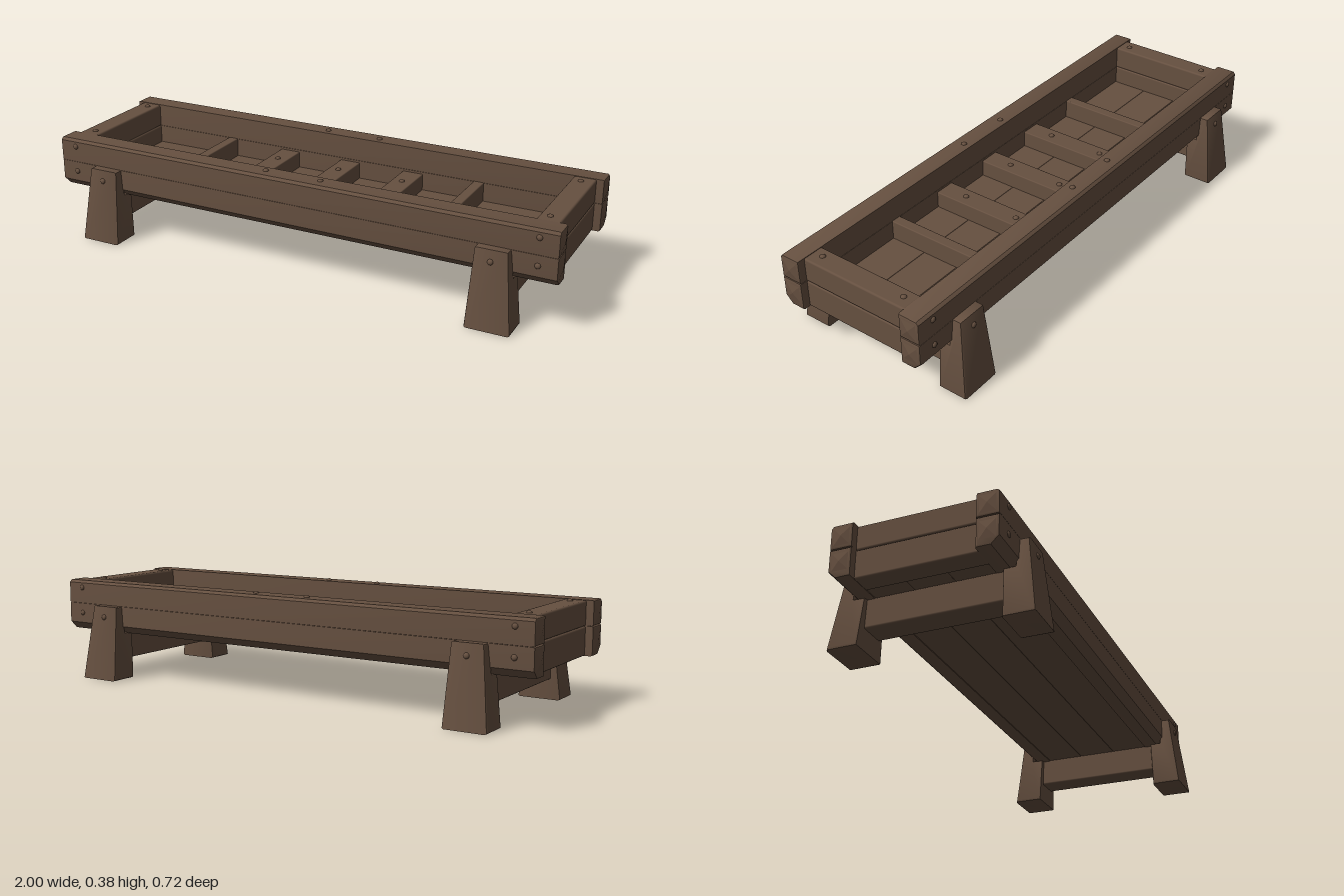
import * as THREE from 'three';
import { RoundedBoxGeometry } from 'three/addons/geometries/RoundedBoxGeometry.js';
import { toCreasedNormals } from 'three/addons/utils/BufferGeometryUtils.js';

export function createModel() {
  const model = new THREE.Group();
  model.name = 'woodenTrough';
  const wood = new THREE.MeshStandardMaterial({ color: 0x665040 });
  wood.name = 'brown wood';

  function add(name, geometry, x = 0, y = 0, z = 0) {
    const mesh = new THREE.Mesh(geometry, wood);
    mesh.name = name;
    mesh.position.set(x, y, z);
    model.add(mesh);
    return mesh;
  }

  // Rounded beam given by its limits on each axis
  function beam(name, [x0, x1], [y0, y1], [z0, z1], r = 0.008) {
    return add(name, new RoundedBoxGeometry(x1 - x0, y1 - y0, z1 - z0, 2, r),
      (x0 + x1) / 2, (y0 + y1) / 2, (z0 + z1) / 2);
  }

  // Extrusion of a [z, y] outline along x, bevelled and centred on x = 0
  function prism(points, length, bevel) {
    const shape = new THREE.Shape(points.map(([z, y]) => new THREE.Vector2(-z, y)));
    const g = new THREE.ExtrudeGeometry(shape, {
      depth: length - 2 * bevel, bevelEnabled: true, bevelSize: bevel,
      bevelThickness: bevel, bevelOffset: -bevel, bevelSegments: 2,
    });
    g.translate(0, 0, -(length - 2 * bevel) / 2);
    g.rotateY(Math.PI / 2);
    return g;
  }

  // Half-round nail head facing along an axis
  const nailShape = new THREE.SphereGeometry(0.011, 10, 5, 0, Math.PI * 2, 0, Math.PI / 2);
  nailShape.scale(1, 0.75, 1);
  function nail(x, y, z, rx = 0) {
    add('nail', nailShape, x, y, z).rotation.x = rx;
  }

  // Long side rails: two stacked planks, the lower one chamfered outside
  for (const s of [1, -1]) {
    const upper = [[0.215, 0.284], [0.296, 0.284], [0.296, 0.364], [0.287, 0.374], [0.215, 0.374]];
    const lower = [[0.215, 0.178], [0.268, 0.178], [0.296, 0.206], [0.296, 0.283], [0.215, 0.283]];
    for (const [name, outline] of [['upperSideRail', upper], ['lowerSideRail', lower]]) {
      const points = outline.map(([z, y]) => [z * s, y]);
      if (s < 0) points.reverse();
      add(name, toCreasedNormals(prism(points, 1.988, 0.007), 0.5));
    }
    // Faceted end grain on each plank
    for (const e of [1, -1]) for (const y of [0.235, 0.328]) {
      const g = new THREE.ConeGeometry(0.7071, 1, 4, 1, true).toNonIndexed();
      g.computeVertexNormals();
      g.rotateY(Math.PI / 4);
      g.translate(0, 0.5, 0);
      g.scale(0.064, 0.006, 0.058);
      g.rotateZ(-e * Math.PI / 2);
      add('endGrain', g, e * 0.994, y, s * 0.255);
    }
  }

  // End boards, each made of two stacked planks
  for (const s of [1, -1]) {
    const xr = s > 0 ? [0.884, 0.966] : [-0.966, -0.884];
    beam('upperEndBoard', xr, [0.283, 0.373], [-0.218, 0.218], 0.007);
    beam('lowerEndBoard', xr, [0.178, 0.283], [-0.218, 0.218], 0.007);
  }

  // Floor planks
  for (let i = -1; i <= 1; i++) {
    const z = i * 0.145;
    beam('floorPlank', [-0.89, 0.89], [0.182, 0.212], [z - 0.0725, z + 0.0725], 0.002);
  }

  // Narrow dividers and wide nailed battens across the inside
  for (const x of [-0.53, 0.53]) {
    beam('narrowDivider', [x - 0.02, x + 0.02], [0.205, 0.285], [-0.218, 0.218], 0.004);
  }
  for (const x of [-0.265, 0, 0.265]) {
    beam('wideBatten', [x - 0.041, x + 0.041], [0.205, 0.275], [-0.218, 0.218], 0.004);
    for (const z of [-0.113, 0.113]) nail(x, 0.274, z);
  }

  // Splayed legs notched under the rails and widening toward the foot
  for (const sx of [1, -1]) {
    for (const sz of [1, -1]) {
      const outline = [[0.25, 0], [0.362, 0], [0.328, 0.284], [0.285, 0.284], [0.285, 0.182], [0.243, 0.182]];
      const points = outline.map(([z, y]) => [z * sz, y]);
      if (sz < 0) points.reverse();
      const g = prism(points, 0.164, 0.009);
      const p = g.attributes.position;
      for (let i = 0; i < p.count; i++) {
        const t = p.getY(i) / 0.284;
        p.setX(i, p.getX(i) * (1 - 0.29 * t) - sx * 0.01 * t);
      }
      add('leg', toCreasedNormals(g, 0.6), sx * 0.786, 0, 0);
      nail(sx * 0.777, 0.242, sz * 0.332, sz * Math.PI / 2);
    }
    // Crossbeam between a pair of legs
    beam('crossbeam', [sx * 0.78 - 0.05, sx * 0.78 + 0.05], [0.075, 0.182], [-0.26, 0.26], 0.007);
  }

  // Nails on the rails and end boards
  for (const sx of [1, -1]) for (const sz of [1, -1]) {
    for (const y of [0.245, 0.345]) nail(sx * 0.925, y, sz * 0.295, sz * Math.PI / 2);
    nail(sx * 0.11, 0.373, sz * 0.246);
    nail(sx * 0.92, 0.372, sz * 0.175);
  }

  return model;
}
